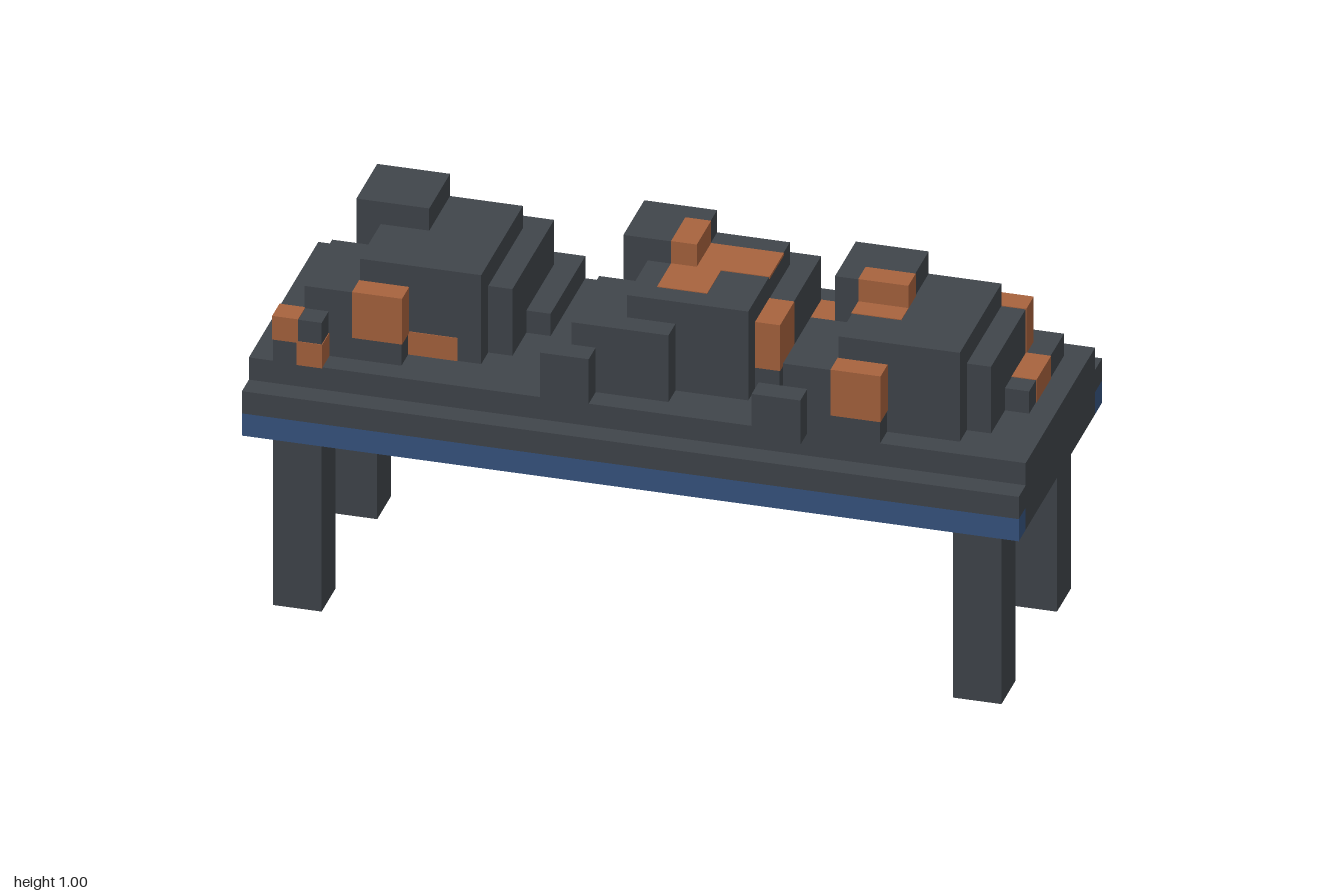
import * as THREE from 'three';

const U = 1 / 16; // everything sits on a grid of sixteenths

const mat = (name, color) => {
  const m = new THREE.MeshStandardMaterial({ color });
  m.name = name;
  return m;
};

export function createModel() {
  const dark = mat('charcoal', 0x40454b);
  const blue = mat('blue', 0x375480);
  const ember = mat('ember orange', 0xa8633e);

  // Box between two grid corners, optionally swollen a hair to lie over a surface
  function block(parent, name, material, [x0, x1], [y0, y1], [z0, z1], swell = 0) {
    const mesh = new THREE.Mesh(
      new THREE.BoxGeometry((x1 - x0) * U + swell, (y1 - y0) * U + swell, (z1 - z0) * U + swell),
      material
    );
    mesh.position.set((x0 + x1) / 2 * U, (y0 + y1) / 2 * U, (z0 + z1) / 2 * U);
    mesh.name = name;
    parent.add(mesh);
  }

  const model = new THREE.Group();
  model.name = 'coalTable';

  // Table top, side rails with blue lower edge, and four legs
  block(model, 'tableTop', dark, [-16, 16], [8, 11], [-5, 5]);
  for (const s of [-1, 1]) {
    const z = s > 0 ? [5, 6] : [-6, -5];
    block(model, 'rail', dark, [-16, 16], [9, 10], z);
    block(model, 'railTrim', blue, [-16, 16], [8, 9], z);
    for (const x of [-15, 13]) block(model, 'leg', dark, [x, x + 2], [0, 8], s > 0 ? [3, 5] : [-5, -3]);
  }

  // One heap of coal, as x, y and z ranges
  const heap = [
    ['mainLump', [-12, -7], [11, 15], [-3, 3]],
    ['tallLump', [-13, -10], [11, 16], [-3, 0]],
    ['sideLump', [-11, -6], [11, 14], [-4, 2]],
    ['frontLump', [-14, -10], [11, 14], [0, 4]],
    ['lowLump', [-8, -5], [11, 12], [-5, 0]],
    ['smallLump', [-15, -13], [11, 13], [4, 5]],
  ];
  for (const [dx, dz] of [[0, 0], [11, 0], [20, 1]]) {
    const group = new THREE.Group();
    group.name = 'coalHeap';
    group.position.set(dx * U, 0, dz * U);
    for (const [name, x, y, z] of heap) block(group, name, dark, x, y, z);
    model.add(group);
  }

  // Glowing patches over the lumps
  const patches = [
    // right heap
    [[-12, -10], [12, 14], [3, 4]],
    [[-10, -8], [11, 12], [2, 3]],
    [[-15, -14], [12, 13], [4, 5]],
    [[-14, -13], [11, 12], [4, 5]],
    // middle heap
    [[0, 1], [15, 16], [-2, 0]],
    [[0, 4], [14.95, 15], [-2, 0]],
    [[0, 2], [14.95, 15], [0, 2]],
    [[4, 5], [12, 14], [0, 2]],
    [[5, 6], [11, 12], [-4, -2]],
    // left heap
    [[8, 10], [15, 16], [0, 1]],
    [[8, 10], [14.95, 15], [1, 2]],
    [[8, 10], [12, 14], [4, 5]],
    [[12, 14], [12, 14], [-3, -2]],
    [[14, 15], [11, 12], [-2, 0]],
  ];
  for (const [x, y, z] of patches) block(model, 'glowingPatch', ember, x, y, z, 0.004);

  return model;
}
